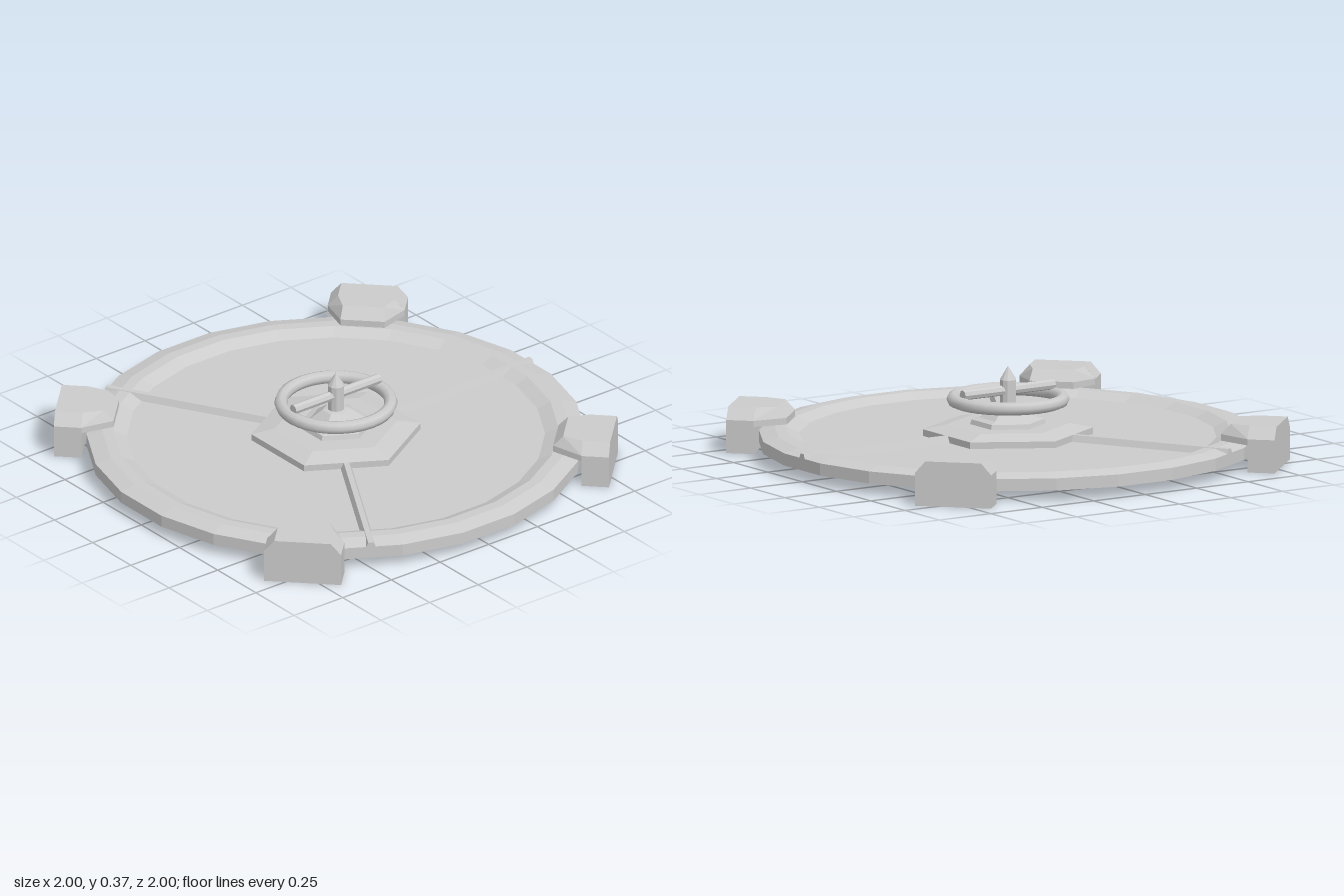
import * as THREE from 'three';
import { ConvexGeometry } from 'three/addons/geometries/ConvexGeometry.js';

const flat = new THREE.MeshStandardMaterial({ color: 0xcccccc, flatShading: true, side: THREE.DoubleSide });
const smooth = new THREE.MeshStandardMaterial({ color: 0xcccccc });

function add(parent, name, geometry, material = flat) {
  const mesh = new THREE.Mesh(geometry, material);
  mesh.name = name;
  parent.add(mesh);
  return mesh;
}

function lathe(profile, sides, start = 0) {
  return new THREE.LatheGeometry(profile.map(([r, y]) => new THREE.Vector2(r, y)), sides, start);
}

// Convex solid mirrored across z = 0, from corners [x, y, half width]
function mirroredHull(corners) {
  return new ConvexGeometry(corners.flatMap(([x, y, w]) => [
    new THREE.Vector3(x, y, w), new THREE.Vector3(x, y, -w),
  ]));
}

export function createModel() {
  const model = new THREE.Group();
  model.name = 'hatch';

  // Dished lid with a raised rim, open underneath
  add(model, 'lid', lathe([
    [1.0086, 0.05], [1.0086, 0.1], [0.945, 0.116], [0.9, 0.116], [0.845, 0.092], [0, 0.092],
  ], 24, Math.PI / 24));

  // Three ribs running from the centre over the rim
  const ribShape = new THREE.Shape([[-0.023, 0.092], [0.023, 0.092], [0.011, 0.119], [-0.011, 0.119]]
    .map(([x, y]) => new THREE.Vector2(x, y)));
  const ribGeometry = new THREE.ExtrudeGeometry(ribShape, { depth: 1, bevelEnabled: false });
  for (let i = 0; i < 3; i++) {
    add(model, 'rib', ribGeometry).rotation.y = Math.PI / 2 + i * Math.PI * 2 / 3;
  }

  // Hexagonal base plate and stepped hub
  add(model, 'hubPlate', lathe([[0.345, 0.092], [0.345, 0.119], [0.25, 0.138], [0, 0.138]], 6));
  add(model, 'hub', lathe([
    [0.155, 0.135], [0.147, 0.157], [0.115, 0.165], [0.055, 0.21], [0, 0.22],
  ], 6));

  // Pointed spindle
  add(model, 'spindle', lathe([[0.034, 0.19], [0.034, 0.32], [0, 0.376]], 10));

  // Handwheel and its crossbar
  const wheel = add(model, 'handwheel', new THREE.TorusGeometry(0.222, 0.027, 8, 32), smooth);
  wheel.rotation.x = Math.PI / 2;
  wheel.position.y = 0.24;
  const bar = add(model, 'crossbar', new THREE.CylinderGeometry(0.021, 0.021, 0.44, 8));
  bar.rotation.z = Math.PI / 2;
  bar.position.y = 0.277;

  // Four clamps gripping the rim
  const blockGeometry = mirroredHull([1.018, 1.13].flatMap((x) => [
    [x, 0.004, 0.157], [x, 0.14, 0.157], [x, 0.188, 0.115],
  ]));
  const lipGeometry = mirroredHull([
    [1.02, 0.115, 0.157], [1.02, 0.14, 0.157], [1.02, 0.188, 0.115],
    [0.935, 0.188, 0.085], [0.895, 0.145, 0.09], [0.895, 0.118, 0.09],
  ]);
  for (let i = 0; i < 4; i++) {
    const clamp = new THREE.Group();
    clamp.name = 'clamp';
    add(clamp, 'clampBlock', blockGeometry);
    add(clamp, 'clampLip', lipGeometry);
    clamp.rotation.y = Math.PI / 4 + i * Math.PI / 2;
    model.add(clamp);
  }

  return model;
}
